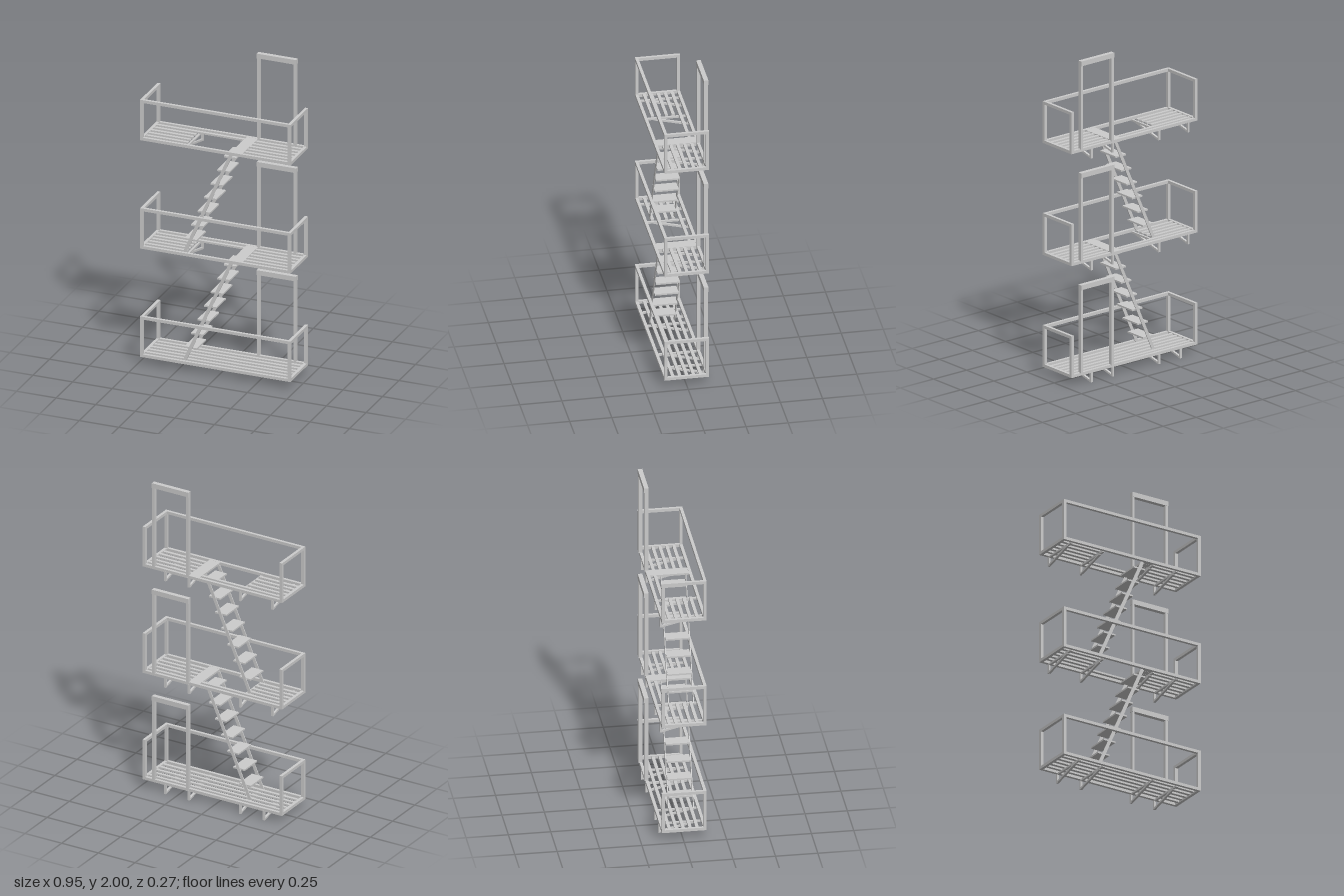
import * as THREE from 'three';

const STOREY = 0.691, FLOOR = 0.058, T = 0.018;
const X = 0.475, ZB = -0.129, ZF = 0.136;
const material = new THREE.MeshStandardMaterial({ color: 0xcccccc });

// Box given by its two extreme corners
function bar(parent, name, x0, x1, y0, y1, z0, z1) {
  const mesh = new THREE.Mesh(new THREE.BoxGeometry(x1 - x0, y1 - y0, z1 - z0), material);
  mesh.position.set((x0 + x1) / 2, (y0 + y1) / 2, (z0 + z1) / 2);
  mesh.name = name;
  parent.add(mesh);
  return mesh;
}

// Flat outline in x-y, extruded along z
function plate(points, depth) {
  const shape = new THREE.Shape(points.map(p => new THREE.Vector2(...p)));
  return new THREE.ExtrudeGeometry(shape, { depth, bevelEnabled: false });
}

function makeFloor(hasOpening) {
  const g = new THREE.Group();
  g.name = 'floor';
  // Outer frame
  bar(g, 'frontBeam', -X, X, 0, T, ZF - T, ZF);
  bar(g, 'backBeam', -X, X, 0, T, ZB, ZB + T);
  for (const s of [-1, 1]) {
    const c = s * (X - T / 2);
    bar(g, 'endBeam', c - T / 2, c + T / 2, 0, T, ZB + T, ZF - T);
  }
  // Slats, cut where the stair comes up
  for (let i = 0; i < 5; i++) {
    const z = -0.081 + i * 0.041;
    const spans = hasOpening && i > 0 ? [[-X + T, -0.193], [0.097, X - T]] : [[-X + T, X - T]];
    for (const [a, b] of spans) bar(g, 'slat', a, b, 0.005, 0.016, z - 0.0095, z + 0.0095);
  }
  if (hasOpening) bar(g, 'landingPlate', 0.096, 0.167, 0.006, 0.0175, ZB + T, ZF - T);
  return g;
}

function makeRailing() {
  const g = new THREE.Group();
  g.name = 'railing';
  const top = 0.258, low = top - T;
  bar(g, 'frontRail', -X, X, low, top, ZF - T, ZF);
  for (const s of [-1, 1]) {
    const c = s * (X - T / 2), a = c - T / 2, b = c + T / 2;
    bar(g, 'endRail', a, b, low, top, ZB, ZF - T);
    bar(g, 'frontPost', a, b, T, low, ZF - T, ZF);
    bar(g, 'backPost', a, b, T, low, ZB, ZB + T);
  }
  return g;
}

function makeDoorFrame() {
  const g = new THREE.Group();
  g.name = 'doorFrame';
  bar(g, 'leftJamb', 0.391, 0.407, 0.014, 0.53, -0.134, -0.111);
  bar(g, 'rightJamb', 0.16, 0.176, 0.014, 0.53, -0.134, -0.111);
  bar(g, 'lintel', 0.159, 0.408, 0.53, 0.56, -0.137, -0.11);
  return g;
}

// Triangular bracket: wall leg, cross bar and sloping brace
function makeBracket(x) {
  const g = new THREE.Group(), w = 0.0065;
  g.name = 'bracket';
  bar(g, 'wallLeg', x - w, x + w, -0.058, 0.004, -0.13, -0.118);
  bar(g, 'crossBar', x - w, x + w, -0.006, 0.005, -0.128, ZF - T);
  const brace = new THREE.Mesh(
    plate([[-0.08, -0.009], [-0.08, 0.003], [0.12, -0.046], [0.12, -0.058]].reverse(), 2 * w), material);
  brace.name = 'brace';
  brace.rotation.y = Math.PI / 2; // outline x becomes -z
  brace.position.x = x - w;
  g.add(brace);
  return g;
}

function makeStair() {
  const g = new THREE.Group();
  g.name = 'stair';
  const stringer = plate([[-0.218, 0.012], [-0.196, 0.012], [0.106, 0.701], [0.084, 0.701]], 0.005);
  for (const z of [-0.051, 0.096]) {
    const mesh = new THREE.Mesh(stringer, material);
    mesh.name = 'stringer';
    mesh.position.z = z;
    g.add(mesh);
  }
  for (let i = 0; i < 7; i++) {
    const x = -0.173 + i * 0.0415, y = 0.091 + i * 0.0943;
    bar(g, 'tread', x - 0.039, x + 0.039, y - 0.005, y + 0.005, -0.046, 0.096);
  }
  return g;
}

export function createModel() {
  const model = new THREE.Group();
  model.name = 'fireEscape';
  for (let level = 0; level < 3; level++) {
    const storey = new THREE.Group();
    storey.name = 'storey';
    storey.position.y = FLOOR + level * STOREY;
    storey.add(makeFloor(level > 0), makeRailing(), makeDoorFrame());
    for (const x of [level ? -0.409 : -0.351, -0.188, 0.16, 0.322]) storey.add(makeBracket(x));
    if (level < 2) storey.add(makeStair());
    model.add(storey);
  }
  return model;
}
